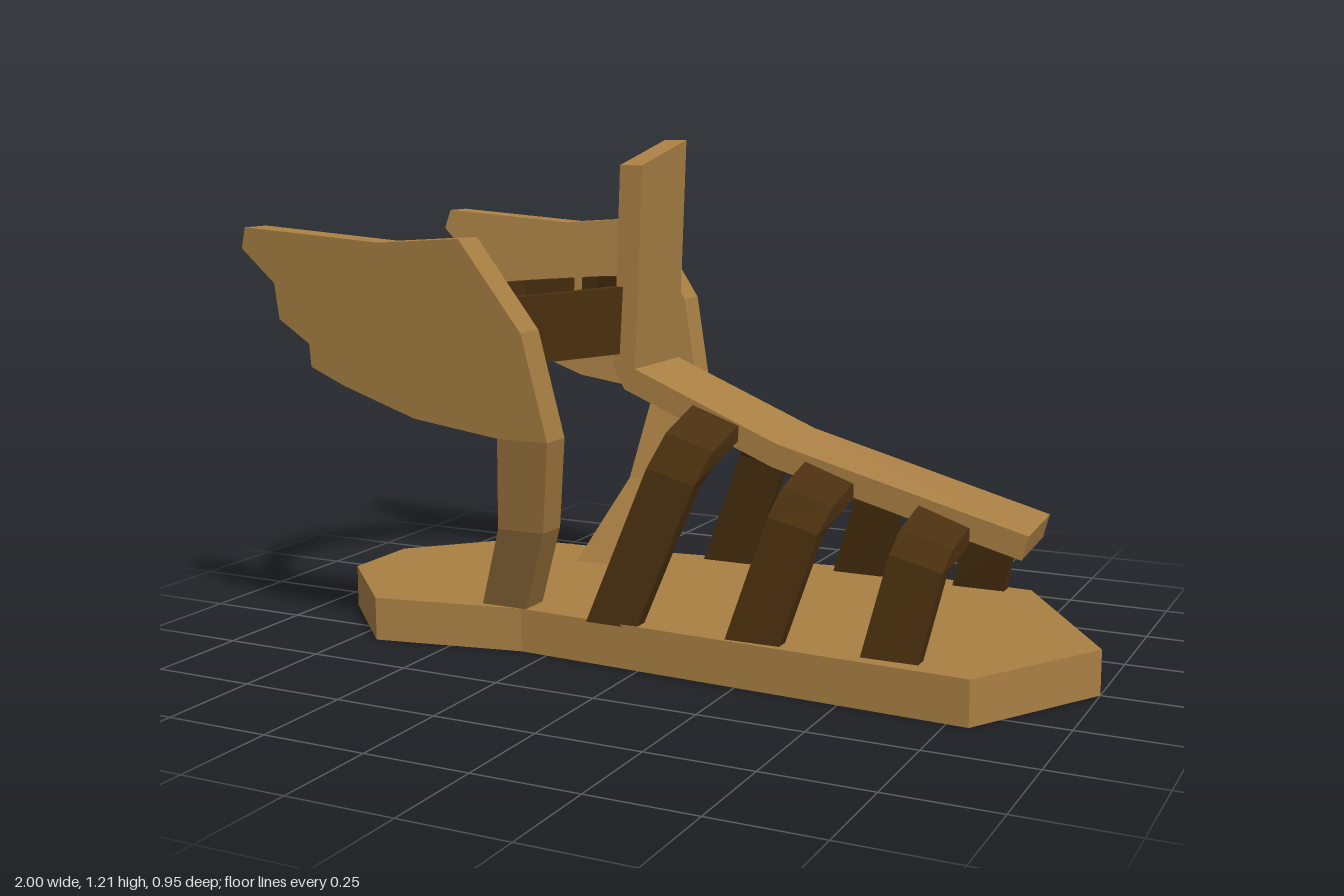
import * as THREE from 'three';

const tan = new THREE.MeshStandardMaterial({ color: 0xaa8044, flatShading: true });
tan.name = 'tan leather';
const brown = new THREE.MeshStandardMaterial({ color: 0x4a300f, flatShading: true });
brown.name = 'dark brown strap';

// Straight extrusion of an outline, centred on z = 0
function slab(points, depth) {
  const shape = new THREE.Shape(points.map(([x, y]) => new THREE.Vector2(x, y)));
  return new THREE.ExtrudeGeometry(shape, { depth, bevelEnabled: false }).translate(0, 0, -depth / 2);
}

// Moves every vertex by a rule
function bend(geometry, rule) {
  const p = geometry.attributes.position;
  const v = new THREE.Vector3();
  for (let i = 0; i < p.count; i++) {
    rule(v.fromBufferAttribute(p, i));
    p.setXYZ(i, v.x, v.y, v.z);
  }
  geometry.computeVertexNormals();
  return geometry;
}

// Solid band through four-cornered sections, capped at both ends
function band(sections) {
  const pos = [];
  const quad = (a, b, c, d) => [a, b, c, a, c, d].forEach((p) => pos.push(...p));
  for (let s = 0; s + 1 < sections.length; s++) {
    const a = sections[s], b = sections[s + 1];
    for (let i = 0; i < 4; i++) {
      const j = (i + 1) % 4;
      quad(a[i], a[j], b[j], b[i]);
    }
  }
  const first = sections[0], last = sections[sections.length - 1];
  quad(first[3], first[2], first[1], first[0]);
  quad(last[0], last[1], last[2], last[3]);
  const g = new THREE.BufferGeometry();
  g.setAttribute('position', new THREE.Float32BufferAttribute(pos, 3));
  g.computeVertexNormals();
  return g;
}

// Arched strap over the foot, leaning from baseX to topX
function footStrap(baseX, topX, height, nearZ, farZ) {
  const arch = [[1, 0], [0.9, 0.74], [0.76, 0.9], [0.42, 1], [-0.33, 0.99], [-0.72, 0.85], [-0.91, 0.62], [-1, 0]]
    .map(([z, y]) => [z > 0 ? z * nearZ : z * farZ, 0.1 + y * (height - 0.1)]);
  const n = arch.length;
  return band(arch.map(([z, y], i) => {
    const a = arch[Math.max(i - 1, 0)], b = arch[Math.min(i + 1, n - 1)];
    const dz = b[0] - a[0], dy = b[1] - a[1], len = Math.hypot(dz, dy);
    const iz = z - 0.036 * dy / len, iy = i % (n - 1) ? y + 0.036 * dz / len : y;
    const t = (y - 0.1) / (height - 0.1);
    const x = baseX + (topX - baseX) * t, w = 0.066 - 0.008 * t, tilt = 0.02 * t;
    return [[x - w, iy + tilt, iz], [x - w, y + tilt, z], [x + w, y - tilt, z], [x + w, iy - tilt, iz]];
  }));
}

// Tilted elliptical arc of the ankle strap
function ankleArc(degrees) {
  return band(degrees.map((deg) => {
    const c = Math.cos(deg * Math.PI / 180), s = Math.sin(deg * Math.PI / 180);
    const low = 0.682 + 0.028 * c, high = 0.832 + 0.038 * c;
    const at = (rx, rz, y) => [-0.555 + rx * c, y, rz * s];
    return [at(0.42, 0.357, low), at(0.45, 0.387, low), at(0.46, 0.387, high), at(0.43, 0.357, high)];
  }));
}

// Middle of the wing's thickness at a given height
function wingZ(y) {
  const knots = [[0.1, 0.228], [0.32, 0.328], [0.545, 0.39], [1.0, 0.435]];
  let k = 0;
  while (k < 2 && y > knots[k + 1][0]) k++;
  const [y0, z0] = knots[k], [y1, z1] = knots[k + 1];
  return z0 + (z1 - z0) * (y - y0) / (y1 - y0);
}

export function createModel() {
  const model = new THREE.Group();
  model.name = 'wingedSandal';
  const add = (parent, name, geometry, material) => {
    const mesh = new THREE.Mesh(geometry, material);
    mesh.name = name;
    parent.add(mesh);
  };

  // Sole, outlined in x and z
  const outline = [[-0.915, 0.105], [-0.69, 0.34], [-0.32, 0.27], [0.8, 0.33], [1, 0], [0.73, -0.42],
    [0.24, -0.445], [-0.39, -0.355], [-0.69, -0.34], [-0.915, -0.105]];
  const sole = slab(outline.map(([x, z]) => [x, -z]), 0.105);
  add(model, 'sole', sole.rotateX(-Math.PI / 2).translate(0, 0.0525, 0), tan);

  // Tongue: instep strip with a slanted upright end
  const tongue = slab([[-0.07, 1.2], [-0.092, 0.675], [0.27, 0.525], [0.86, 0.37], [0.845, 0.315],
    [0.26, 0.47], [-0.12, 0.625], [-0.148, 0.675], [-0.128, 1.2]], 0.234);
  add(model, 'tongue', bend(tongue, (v) => {
    if (v.y > 1) v.y = 1.178 - v.z * 0.235;
    if (v.x > 0.8) v.x += (v.z - 0.117) * 0.06;
  }), tan);

  // Three foot straps
  const straps = new THREE.Group();
  straps.name = 'footStraps';
  model.add(straps);
  [[-0.07, 0.117, 0.58, 0.285, 0.39], [0.285, 0.4, 0.47, 0.29, 0.42], [0.605, 0.67, 0.395, 0.285, 0.415]]
    .forEach((s, i) => add(straps, `footStrap${i + 1}`, footStrap(...s), brown));

  // Ankle strap in two arcs
  add(model, 'ankleStrapFront', ankleArc([-82, -75, -45, -15, 15, 45, 75, 86]), brown);
  add(model, 'ankleStrapBack', ankleArc([106, 135, 165, 195, 225, 255, 273]), brown);

  // Wings: two stem pieces and a feathered blade on each side
  const pieces = {
    lowerStem: [[-0.43, 0.1], [-0.31, 0.1], [-0.2, 0.32], [-0.32, 0.32]],
    upperStem: [[-0.32, 0.32], [-0.2, 0.32], [-0.15, 0.545], [-0.28, 0.545]],
    blade: [[-0.28, 0.545], [-0.15, 0.545], [-0.2, 0.79], [-0.345, 0.995], [-0.56, 0.98], [-0.935, 1.005],
      [-0.95, 0.955], [-0.865, 0.875], [-0.86, 0.79], [-0.78, 0.735], [-0.78, 0.68], [-0.69, 0.64], [-0.5, 0.575]],
  };
  for (const side of [1, -1]) {
    const wing = new THREE.Group();
    wing.name = side > 0 ? 'frontWing' : 'backWing';
    for (const [name, points] of Object.entries(pieces)) {
      add(wing, name, bend(slab(points, 0.078), (v) => { v.z += side * wingZ(v.y); }), tan);
    }
    model.add(wing);
  }
  return model;
}
